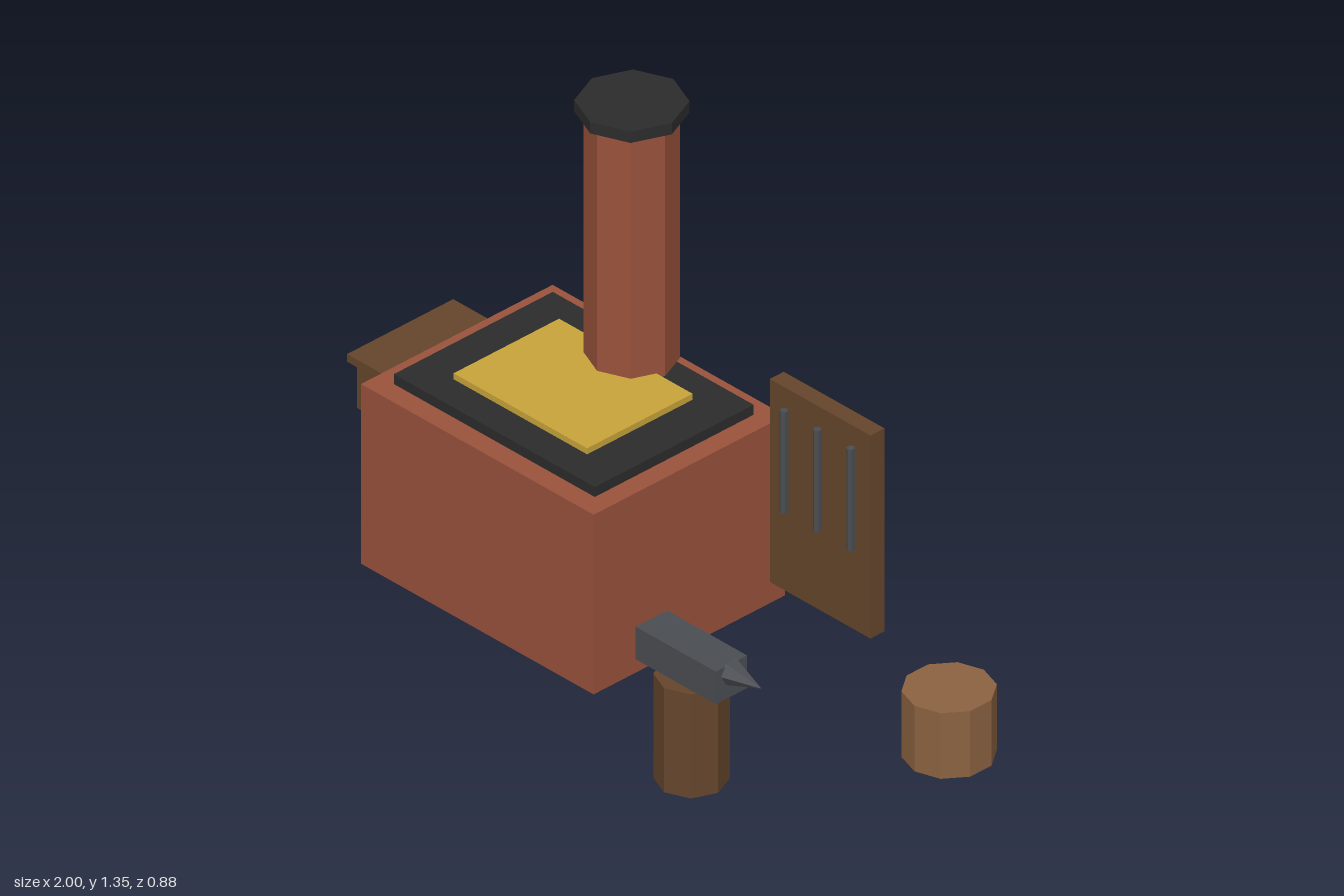
import * as THREE from 'three';

const mat = (name, color) => {
  const m = new THREE.MeshStandardMaterial({ color, flatShading: true });
  m.name = name;
  return m;
};

export function createModel() {
  const brick = mat('brick', 0x9a523c);
  const soot = mat('soot', 0x2c2c2c);
  const ember = mat('ember', 0xc8a43a);
  const darkWood = mat('dark wood', 0x66462c);
  const lightWood = mat('light wood', 0x8b6240);
  const iron = mat('iron', 0x4a4d52);

  const model = new THREE.Group();
  model.name = 'forge';

  const add = (name, geometry, material, x, y, z) => {
    const mesh = new THREE.Mesh(geometry, material);
    mesh.name = name;
    mesh.position.set(x, y, z);
    model.add(mesh);
    return mesh;
  };
  // Box given by its min and max along each axis
  const box = (name, material, [x0, x1], [y0, y1], [z0, z1]) =>
    add(name, new THREE.BoxGeometry(x1 - x0, y1 - y0, z1 - z0), material,
      (x0 + x1) / 2, (y0 + y1) / 2, (z0 + z1) / 2);
  // Upright faceted post
  const post = (name, material, r, sides, x, z, y0, y1) =>
    add(name, new THREE.CylinderGeometry(r, r, y1 - y0, sides), material, x, (y0 + y1) / 2, z);

  // Hearth
  box('hearthBase', brick, [-0.79, 0.06], [0, 0.54], [-0.422, 0.25]);
  box('firePan', soot, [-0.732, 0.002], [0.54, 0.57], [-0.367, 0.19]);
  box('coalBed', ember, [-0.61, -0.122], [0.57, 0.588], [-0.272, 0.098]);

  // Chimney
  post('chimney', brick, 0.122, 8, -0.367, -0.294, 0.575, 1.312);
  post('chimneyCap', soot, 0.146, 8, -0.367, -0.294, 1.312, 1.346);

  // Bellows
  box('bellowsBody', darkWood, [-0.99, -0.868], [0.297, 0.442], [-0.25, 0.072]);
  box('bellowsLid', darkWood, [-1, -0.857], [0.442, 0.465], [-0.275, 0.097]);
  const nozzle = new THREE.CylinderGeometry(0.018, 0.018, 0.15, 6).rotateZ(Math.PI / 2);
  add('bellowsNozzle', nozzle, iron, -0.857, 0.368, 0.089);

  // Tool rack
  box('toolBoard', darkWood, [0.06, 0.428], [0.064, 0.674], [-0.417, -0.368]);
  for (const x of [0.123, 0.245, 0.367]) post('hangingTool', iron, 0.0115, 6, x, -0.357, 0.31, 0.614);

  // Anvil on its stump
  post('anvilStump', darkWood, 0.097, 8, 0.514, 0.342, 0, 0.313);
  box('anvilBody', iron, [0.367, 0.66], [0.313, 0.411], [0.287, 0.397]);
  add('anvilHorn', new THREE.ConeGeometry(0.037, 0.112, 6).rotateZ(-Math.PI / 2), iron, 0.714, 0.386, 0.342);

  // Log stool
  post('logStool', lightWood, 0.122, 10, 0.882, -0.208, 0, 0.197);

  return model;
}
